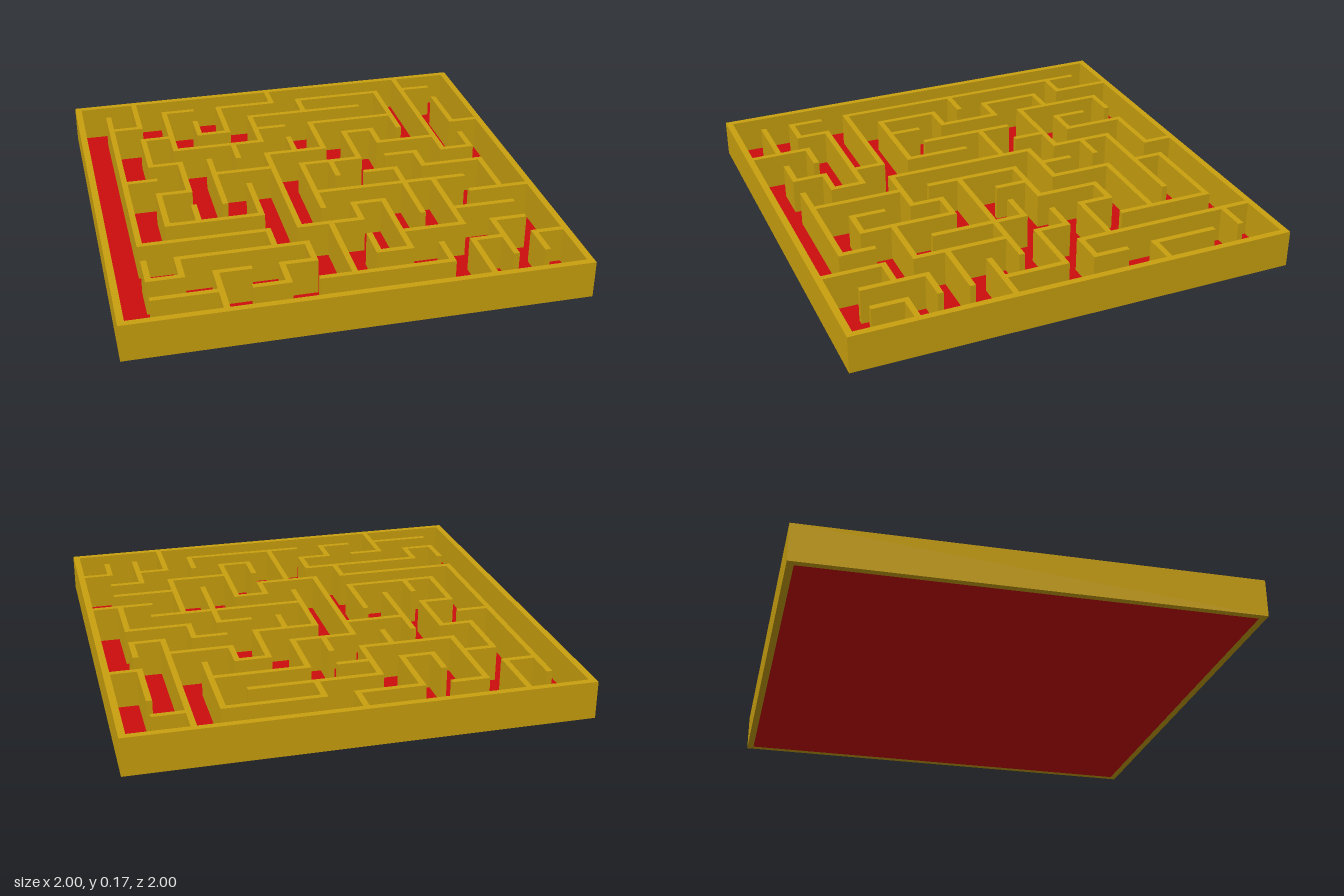
import * as THREE from 'three';

const HEIGHT = 0.17, FLOOR = 0.01, WALL = 0.026, RIM = 0.03, PITCH = 0.1405;

// Grid line index (0..14) to position
const at = (i) => (i - 7) * PITCH;

// Walls running front to back: for each x line, [from, to] z lines
const alongZ = {
  1: [[1, 10], [11, 12]],
  2: [[0, 2], [3, 5], [7, 9], [11, 12]],
  3: [[1, 4], [5, 7], [8, 9], [12, 14]],
  4: [[2, 3], [5, 8]],
  5: [[1, 3], [4, 5], [7, 9], [10, 11], [12, 13]],
  6: [[2, 4], [5, 10], [11, 12]],
  7: [[0, 1], [4, 5], [6, 9], [10, 13]],
  8: [[1, 2], [3, 5], [6, 7], [9, 10], [11, 12]],
  9: [[4, 6], [9, 12]],
  10: [[4, 5], [7, 10], [12, 13]],
  11: [[1, 4], [6, 7], [8, 11], [12, 14]],
  12: [[0, 6], [11, 13]],
  13: [[2, 4], [5, 6], [7, 9], [12, 13]],
};

// Walls running left to right: for each z line, [from, to] x lines
const alongX = {
  1: [[3, 4], [5, 7], [8, 11], [12, 13]],
  2: [[1, 2], [6, 10]],
  3: [[2, 3], [4, 5], [6, 7], [8, 11]],
  4: [[3, 6], [9, 10], [13, 14]],
  5: [[2, 3], [6, 8], [10, 12]],
  6: [[1, 2], [4, 6], [7, 9], [10, 11], [12, 13]],
  7: [[2, 3], [9, 10], [11, 13]],
  8: [[7, 12]],
  9: [[2, 5], [8, 9], [12, 14]],
  10: [[1, 5], [6, 8], [11, 13]],
  11: [[2, 6], [9, 11], [12, 13]],
  12: [[1, 2], [3, 4], [5, 6], [8, 9], [11, 12], [13, 14]],
  13: [[1, 3], [4, 5], [6, 10]],
};

function square(path, h) {
  path.moveTo(-h, -h);
  path.lineTo(h, -h);
  path.lineTo(h, h);
  path.lineTo(-h, h);
  path.closePath();
  return path;
}

export function createModel() {
  const model = new THREE.Group();
  model.name = 'maze';
  const gold = new THREE.MeshStandardMaterial({ color: 0xc9a00e });
  const red = new THREE.MeshStandardMaterial({ color: 0xcc0c0c });

  // Outer frame: a square ring standing on the ground
  const ring = square(new THREE.Shape(), 1);
  ring.holes.push(square(new THREE.Path(), 1 - RIM));
  const frameGeometry = new THREE.ExtrudeGeometry(ring, { depth: HEIGHT, bevelEnabled: false });
  frameGeometry.rotateX(-Math.PI / 2);
  const frame = new THREE.Mesh(frameGeometry, gold);
  frame.name = 'outerFrame';
  model.add(frame);

  // Floor plate inside the frame
  const side = 2 - 2 * RIM;
  const floor = new THREE.Mesh(new THREE.BoxGeometry(side, FLOOR, side), red);
  floor.name = 'floor';
  floor.position.y = FLOOR / 2;
  model.add(floor);

  // Inner walls, each reaching half a thickness past its grid points
  const walls = new THREE.Group();
  walls.name = 'innerWalls';
  model.add(walls);
  const base = FLOOR / 2;
  function addWalls(table, runsAlongX) {
    for (const [line, spans] of Object.entries(table)) {
      for (const [from, to] of spans) {
        const length = (to - from) * PITCH + WALL;
        const middle = (at(from) + at(to)) / 2;
        const wall = new THREE.Mesh(
          new THREE.BoxGeometry(runsAlongX ? length : WALL, HEIGHT - base, runsAlongX ? WALL : length), gold);
        const y = (HEIGHT + base) / 2;
        if (runsAlongX) wall.position.set(middle, y, at(+line));
        else wall.position.set(at(+line), y, middle);
        wall.name = runsAlongX ? 'crossWall' : 'lengthWall';
        walls.add(wall);
      }
    }
  }
  addWalls(alongZ, false);
  addWalls(alongX, true);

  return model;
}
